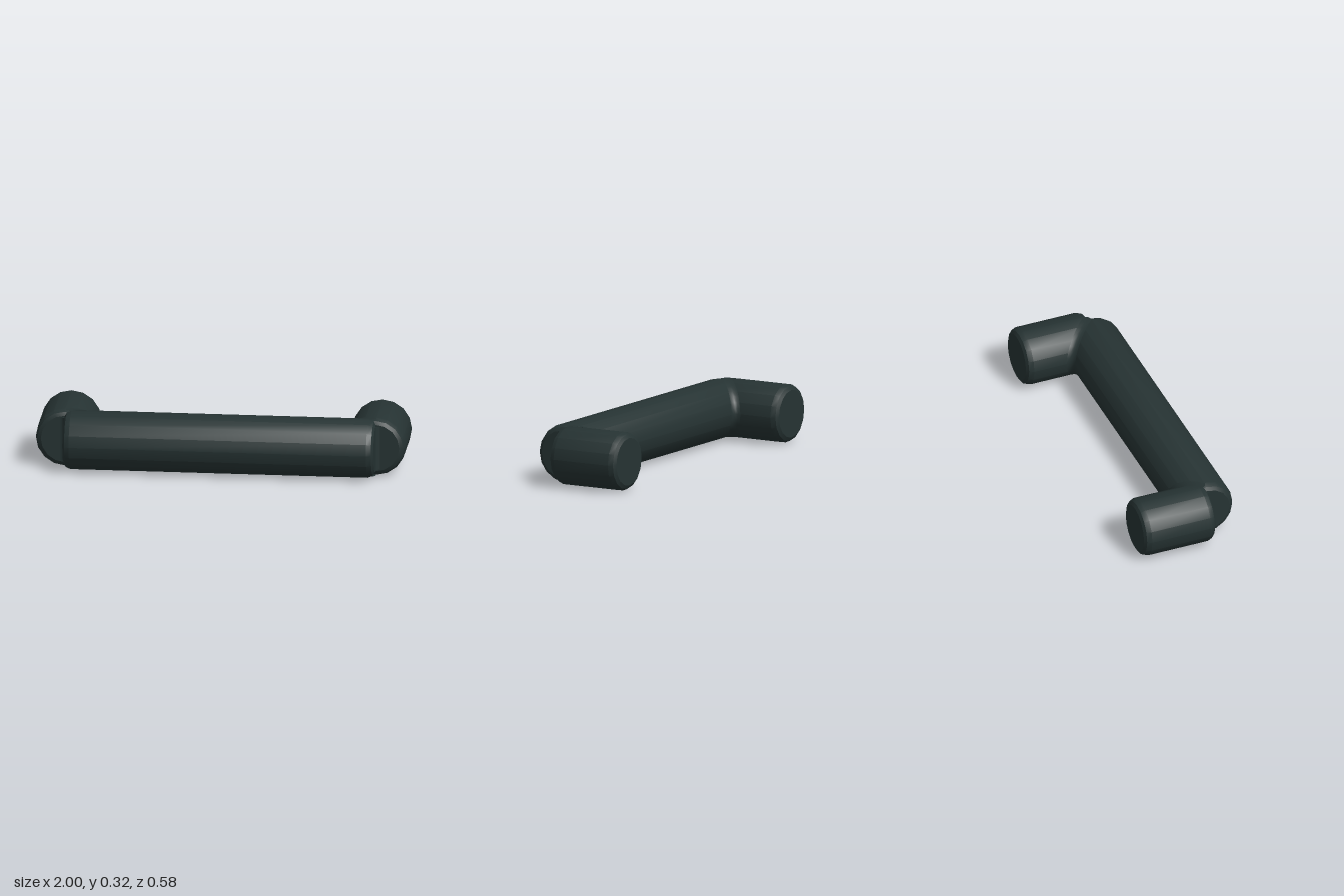
import * as THREE from 'three';
import { toCreasedNormals } from 'three/addons/utils/BufferGeometryUtils.js';

const R = 0.16, BAR_Z = 0.13, POST_X = 0.84, POST_FRONT = 0.125;

// Round rod along +y, from -len/2 to len/2, with softened ends
function rod(len) {
  const h = len / 2;
  const end = [[0, 0], [0.13, 0], [0.149, 0.011], [R, 0.037]];
  const pts = end.map(([r, d]) => new THREE.Vector2(r, d - h));
  end.slice().reverse().forEach(([r, d]) => pts.push(new THREE.Vector2(r, h - d)));
  return toCreasedNormals(new THREE.LatheGeometry(pts, 16), 0.5);
}

// Concave strip softening the inner corner where the bar meets a post
function innerFillet(side, f) {
  const pos = [], idx = [], rows = 16, cols = 4;
  for (let i = 0; i <= rows; i++) {
    const a = (i / rows - 0.5) * Math.PI;
    const x = POST_X - R * Math.cos(a), z = BAR_Z - R * Math.cos(a);
    for (let j = 0; j <= cols; j++) {
      const b = (j / cols) * Math.PI / 2;
      pos.push(side * (x - f + f * Math.sin(b)), R + R * Math.sin(a), z - f + f * Math.cos(b));
      if (i < rows && j < cols) {
        const p = i * (cols + 1) + j, q = p + cols + 1;
        if (side > 0) idx.push(p, q, p + 1, p + 1, q, q + 1);
        else idx.push(p, p + 1, q, p + 1, q + 1, q);
      }
    }
  }
  const g = new THREE.BufferGeometry();
  g.setAttribute('position', new THREE.Float32BufferAttribute(pos, 3));
  g.setIndex(idx);
  g.computeVertexNormals();
  return g;
}

// Small upright cove between the bar end and the post front
function outerFillet(f, height) {
  const s = new THREE.Shape();
  s.moveTo(0, 0);
  s.lineTo(f, 0);
  s.absarc(f, f, f, -Math.PI / 2, -Math.PI, true);
  s.lineTo(0, 0);
  const g = new THREE.ExtrudeGeometry(s, { depth: height, bevelEnabled: false, curveSegments: 3 });
  g.translate(0, 0, -height / 2);
  g.rotateX(Math.PI / 2);
  return g;
}

export function createModel() {
  const group = new THREE.Group();
  group.name = 'handle';
  const dark = new THREE.MeshStandardMaterial({ color: 0x263333, side: THREE.DoubleSide });
  dark.name = 'darkGreenGrey';
  const add = (name, geo, x = 0, y = 0, z = 0) => {
    const m = new THREE.Mesh(geo, dark);
    m.name = name;
    m.position.set(x, y, z);
    group.add(m);
    return m;
  };

  // Grip bar
  add('gripBar', rod(2 * POST_X).rotateZ(Math.PI / 2), 0, R, BAR_Z);

  // Mounting posts with their corner fillets
  const back = -0.29;
  for (const side of [1, -1]) {
    const label = side > 0 ? 'left' : 'right';
    add(label + 'Post', rod(POST_FRONT - back).rotateX(Math.PI / 2), side * POST_X, R, (POST_FRONT + back) / 2);
    add(label + 'InnerFillet', innerFillet(side, 0.035));
    const cove = outerFillet(0.025, 0.24);
    if (side < 0) cove.rotateY(-Math.PI / 2);
    add(label + 'OuterFillet', cove, side * POST_X, R, POST_FRONT);
  }
  return group;
}
